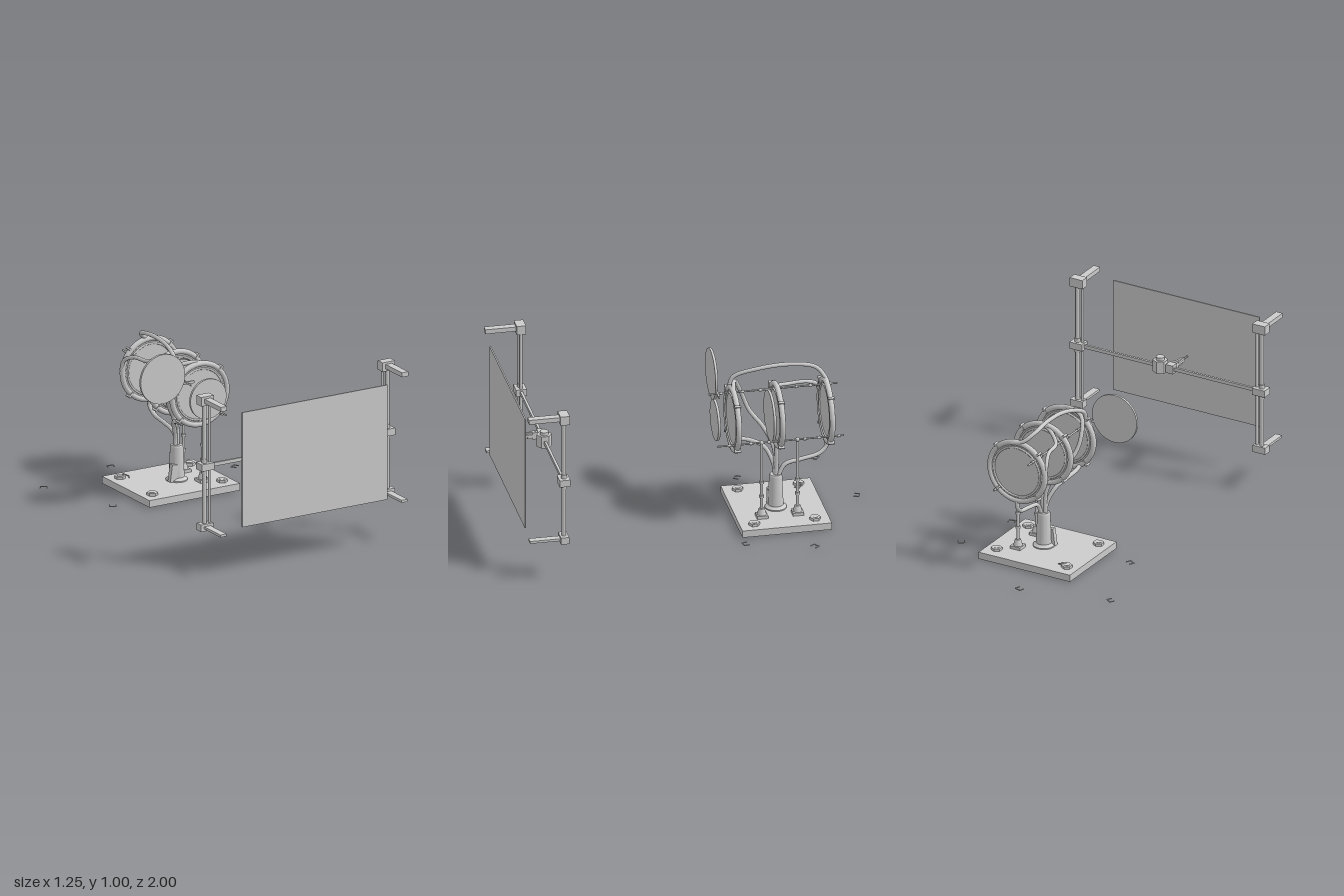
import * as THREE from 'three';

export function createModel() {
  const model = new THREE.Group();
  const smooth = new THREE.MeshStandardMaterial({ color: 0xcccccc });
  const flat = new THREE.MeshStandardMaterial({ color: 0xcccccc, flatShading: true });

  const add = (name, geo, x, y, z, mat = smooth, parent = model) => {
    const m = new THREE.Mesh(geo, mat);
    m.name = name;
    m.position.set(x, y, z);
    parent.add(m);
    return m;
  };
  const box = (name, w, h, d, x, y, z, parent) =>
    add(name, new THREE.BoxGeometry(w, h, d), x, y, z, flat, parent);
  const cyl = (name, r1, r2, h, x, y, z, sides = 24, parent = model) =>
    add(name, new THREE.CylinderGeometry(r1, r2, h, sides), x, y, z, sides < 9 ? flat : smooth, parent);
  const rodZ = (name, r, z0, z1, x, y, sides = 16, parent = model) => {
    const m = cyl(name, r, r, Math.abs(z1 - z0), x, y, (z0 + z1) / 2, sides, parent);
    m.rotation.x = Math.PI / 2;
    return m;
  };
  const hose = (name, r, pts) => {
    const curve = new THREE.CatmullRomCurve3(pts.map(p => new THREE.Vector3(...p)));
    return add(name, new THREE.TubeGeometry(curve, 64, r, 10), 0, 0, 0);
  };

  // Screen and the frame that carries it
  box('screen', 0.93, 0.66, 0.008, 0.005, 0.6, 0.99);
  for (const s of [-1, 1]) {
    const frame = new THREE.Group();
    frame.name = s > 0 ? 'leftFrame' : 'rightFrame';
    model.add(frame);
    box('topBlock', 0.08, 0.052, 0.052, s * 0.58, 0.971, 0.8, frame);
    box('topArm', 0.04, 0.026, 0.175, s * 0.58, 0.972, 0.91, frame);
    box('bottomBlock', 0.08, 0.04, 0.046, s * 0.58, 0.242, 0.8, frame);
    box('bottomArm', 0.04, 0.014, 0.17, s * 0.58, 0.242, 0.907, frame);
    box('slideBlock', 0.08, 0.04, 0.06, s * 0.58, 0.59, 0.8, frame);
    cyl('thickUpright', 0.0125, 0.0125, 0.73, s * 0.586, 0.605, 0.8, 16, frame);
    cyl('thinUpright', 0.008, 0.008, 0.73, s * 0.554, 0.605, 0.8, 16, frame);
    for (const y of [0.56, 0.62]) cyl('slideCollar', 0.016, 0.016, 0.024, s * 0.586, y, 0.8, 16, frame);
  }
  box('crossRail', 1.1, 0.02, 0.014, 0, 0.59, 0.8);

  // Carriage on the rail: hexagonal motor and a pointing probe
  const carriage = new THREE.Group();
  carriage.name = 'carriage';
  model.add(carriage);
  box('carriageBlock', 0.045, 0.05, 0.045, -0.01, 0.592, 0.8, carriage);
  cyl('motor', 0.042, 0.042, 0.07, 0.06, 0.592, 0.8, 6, carriage);
  cyl('motorCap', 0.024, 0.024, 0.09, 0.06, 0.6, 0.8, 16, carriage);
  box('probeMount', 0.028, 0.04, 0.035, -0.01, 0.592, 0.835, carriage);
  rodZ('probeBody', 0.014, 0.84, 0.925, -0.01, 0.592, 6, carriage);
  for (const dy of [-0.013, 0.013]) {
    const claw = box('probeJaw', 0.012, 0.01, 0.1, -0.01, 0.592 + dy, 0.88, carriage);
    claw.rotation.x = dy * 8;
  }
  rodZ('probeTip', 0.005, 0.92, 0.97, -0.01, 0.592, 8, carriage);

  // Base plate, open underneath
  const base = new THREE.Group();
  base.name = 'base';
  model.add(base);
  box('plateTop', 0.58, 0.012, 0.5, 0, 0.034, -0.51, base);
  for (const s of [-1, 1]) {
    box('plateSide', 0.012, 0.04, 0.5, s * 0.284, 0.02, -0.51, base);
    box('plateEnd', 0.58, 0.04, 0.012, 0, 0.02, -0.51 + s * 0.244, base);
    for (const z of [-0.68, -0.34]) {
      const nut = cyl('baseNut', 0.031, 0.031, 0.04, s * 0.223, 0.035, z, 6, base);
      nut.rotation.y = 0;
      cyl('boltEnd', 0.016, 0.016, 0.044, s * 0.223, 0.035, z, 16, base);
    }
  }

  // Central column with its flange and leaning lever
  const columnProfile = [[0, 0.02], [0.06, 0.02], [0.06, 0.046], [0.047, 0.056], [0.043, 0.06],
    [0.036, 0.235], [0.032, 0.242], [0, 0.242]].map(p => new THREE.Vector2(...p));
  add('column', new THREE.LatheGeometry(columnProfile, 32), 0.03, 0, -0.5, flat);
  box('lever', 0.045, 0.1, 0.028, -0.005, 0.09, -0.475).rotation.z = -0.14;

  // Two thin posts that hold the lower rod
  for (const z of [-0.4, -0.6]) {
    box('postFoot', 0.062, 0.045, 0.062, 0.135, 0.035, z);
    cyl('postSocket', 0.016, 0.026, 0.035, 0.135, 0.075, z, 16);
    cyl('post', 0.0085, 0.0085, 0.41, 0.135, 0.285, z, 12);
    for (const y of [0.165, 0.25]) cyl('postCollar', 0.014, 0.014, 0.014, 0.135, y, z, 12);
    add('rodClamp', new THREE.SphereGeometry(0.012, 12, 8), 0.135, 0.49, z);
  }

  // Long rods with stop collars
  for (const [x, y, z0, z1] of [[0.135, 0.49, -0.15, -0.86], [-0.09, 0.7, -0.15, -0.87]]) {
    rodZ('longRod', 0.005, z0, z1, x, y, 10);
    for (const z of [-0.22, -0.34, -0.44, -0.64, -0.72, -0.83])
      rodZ('stopCollar', 0.009, z - 0.006, z + 0.006, x, y, 12);
  }

  // Swing-out discs at the front ends of the rods
  rodZ('smallDisc', 0.115, -0.157, -0.171, 0.025, 0.6, 48);
  rodZ('sideDisc', 0.142, -0.193, -0.207, -0.245, 0.75, 48);
  box('sideDiscTab', 0.07, 0.014, 0.01, -0.075, 0.7, -0.2);

  // Three framed lens plates
  for (const [i, z] of [-0.26, -0.505, -0.782].entries()) {
    const lens = new THREE.Group();
    lens.name = ['frontLens', 'middleLens', 'rearLens'][i];
    lens.position.set(0.03, 0.6, z);
    model.add(lens);
    add('lensRing', new THREE.TorusGeometry(0.174, 0.016, 12, 56), 0, 0, 0, smooth, lens);
    rodZ('lensPlate', 0.166, -0.006, 0.006, 0, 0, 48, lens);
    for (const s of [-1, 1])
      add('lensLip', new THREE.TorusGeometry(0.146, 0.006, 8, 48), 0, 0, s * 0.008, smooth, lens);
    for (let k = 0; k < 4; k++) {
      const a = Math.PI / 4 + k * Math.PI / 2;
      const clip = box('lensClip', 0.035, 0.012, 0.036, 0.182 * Math.cos(a), 0.182 * Math.sin(a), 0, lens);
      clip.rotation.z = a;
    }
  }
  rodZ('innerPlate', 0.143, -0.462, -0.476, 0.03, 0.597, 48);

  // Hoses linking the lens rings and the column
  hose('topHose', 0.012, [[-0.1, 0.73, -0.265], [-0.1, 0.79, -0.29], [-0.07, 0.84, -0.42],
    [-0.06, 0.855, -0.6], [-0.05, 0.83, -0.74], [0, 0.785, -0.785], [0.1, 0.76, -0.785]]);
  hose('sideHose', 0.011, [[0.03, 0.775, -0.5], [-0.04, 0.745, -0.53], [-0.1, 0.718, -0.59],
    [-0.12, 0.712, -0.7], [-0.145, 0.68, -0.765], [-0.15, 0.62, -0.785]]);
  hose('frontHose', 0.012, [[0.12, 0.75, -0.255], [0, 0.785, -0.27], [-0.09, 0.765, -0.3],
    [-0.115, 0.68, -0.34], [-0.1, 0.58, -0.38], [-0.05, 0.49, -0.45], [0.01, 0.39, -0.495], [0.025, 0.23, -0.5]]);
  hose('lowerFrontHose', 0.012, [[-0.06, 0.45, -0.26], [-0.06, 0.435, -0.3], [-0.05, 0.42, -0.38],
    [-0.02, 0.385, -0.45], [0.015, 0.3, -0.49], [0.02, 0.23, -0.5]]);
  hose('lowerRearHose', 0.012, [[0.03, 0.43, -0.785], [0.03, 0.385, -0.783], [0.035, 0.345, -0.74],
    [0.04, 0.325, -0.65], [0.04, 0.3, -0.55], [0.04, 0.23, -0.51]]);
  hose('middleHose', 0.013, [[0.03, 0.43, -0.505], [0.035, 0.34, -0.505], [0.035, 0.23, -0.5]]);

  // Small staples scattered on the ground and one on the plate
  const staples = [[-0.1, 0.003, -0.98, 0.35], [-0.605, 0.003, -0.855, 0.6], [-0.45, 0.003, -0.385, -2.6],
    [0.48, 0.003, -0.625, -0.6], [0.375, 0.003, -0.26, 2.9], [-0.19, 0.052, -0.67, 0.5]];
  for (const [x, y, z, turn] of staples) {
    const staple = new THREE.Group();
    staple.name = 'staple';
    staple.position.set(x, y, z);
    staple.rotation.set(0, -turn, y > 0.01 ? -0.4 : 0);
    model.add(staple);
    box('stapleBack', 0.04, 0.005, 0.005, 0, 0, -0.014, staple);
    for (const s of [-1, 1]) box('stapleLeg', 0.005, 0.005, 0.03, s * 0.018, 0, 0, staple);
  }
  return model;
}
